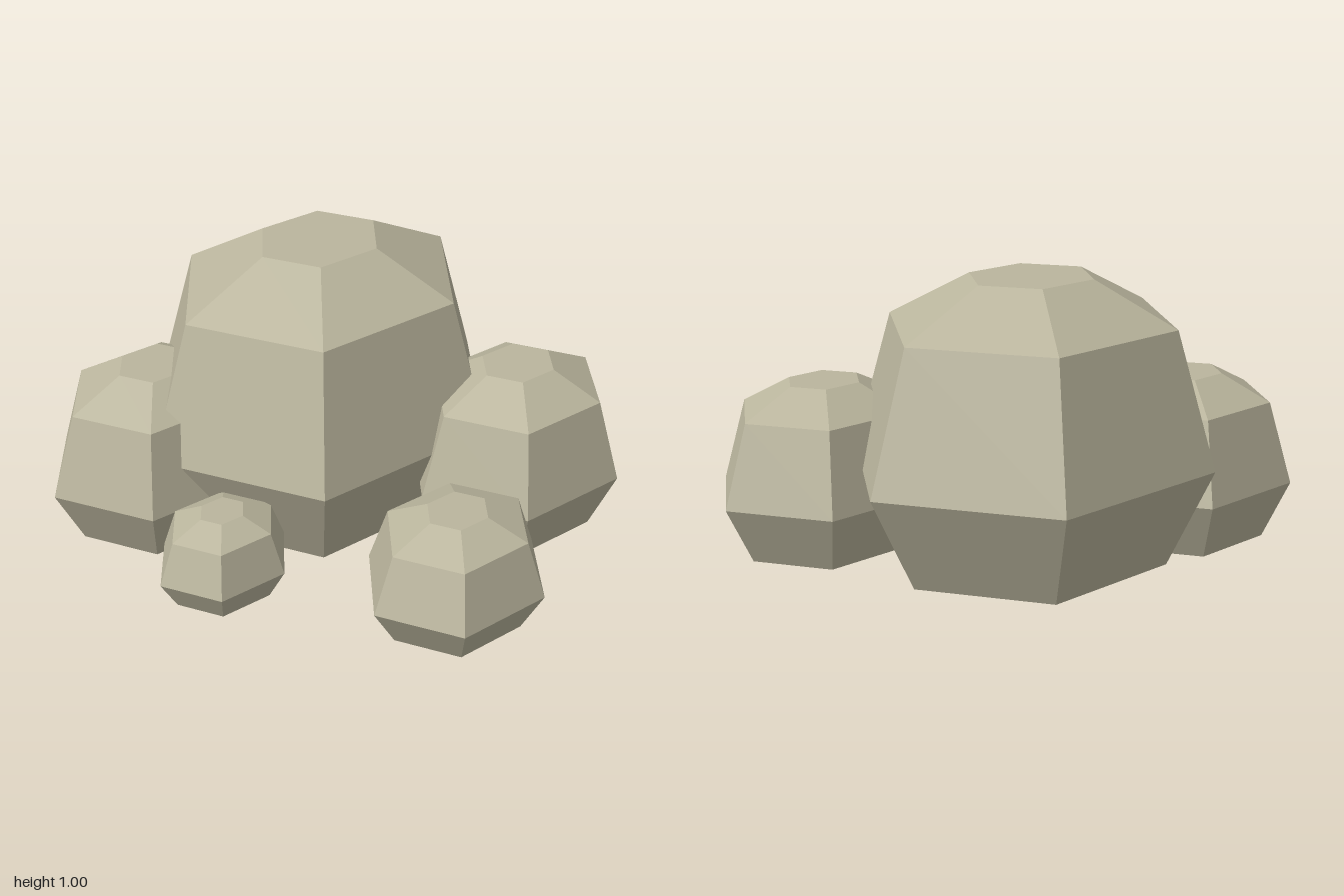
import * as THREE from 'three';

// Shared boulder profile: [radius, height] as fractions, from base to top
const PROFILE = [[0, 0], [0.75, 0], [1, 0.35], [0.79, 0.84], [0.34, 1], [0, 1]]
  .map(([r, y]) => new THREE.Vector2(r, y));

// name, centre x, centre z, radius along x, height
const BOULDERS = [
  ['mainBoulder', -0.143, -0.19, 0.667, 1],
  ['rightBoulder', -0.6, 0.243, 0.4, 0.6],
  ['leftBoulder', 0.6, -0.293, 0.4, 0.6],
  ['frontLeftRock', 0.655, 0.45, 0.32, 0.4],
  ['frontPebble', -0.142, 0.626, 0.235, 0.3],
];

const DEPTH = 1.197; // boulders are longer front to back

export function createModel() {
  const group = new THREE.Group();
  group.name = 'rockCluster';
  const stone = new THREE.MeshStandardMaterial({ color: 0xbab59d, flatShading: true });
  stone.name = 'stone';

  // Six-sided faceted boulders with corners pointing along x
  for (const [name, x, z, radius, height] of BOULDERS) {
    const geometry = new THREE.LatheGeometry(PROFILE, 6, Math.PI / 2);
    geometry.scale(radius, height, radius * DEPTH);
    const rock = new THREE.Mesh(geometry, stone);
    rock.name = name;
    rock.position.set(x, 0, z);
    group.add(rock);
  }
  return group;
}
